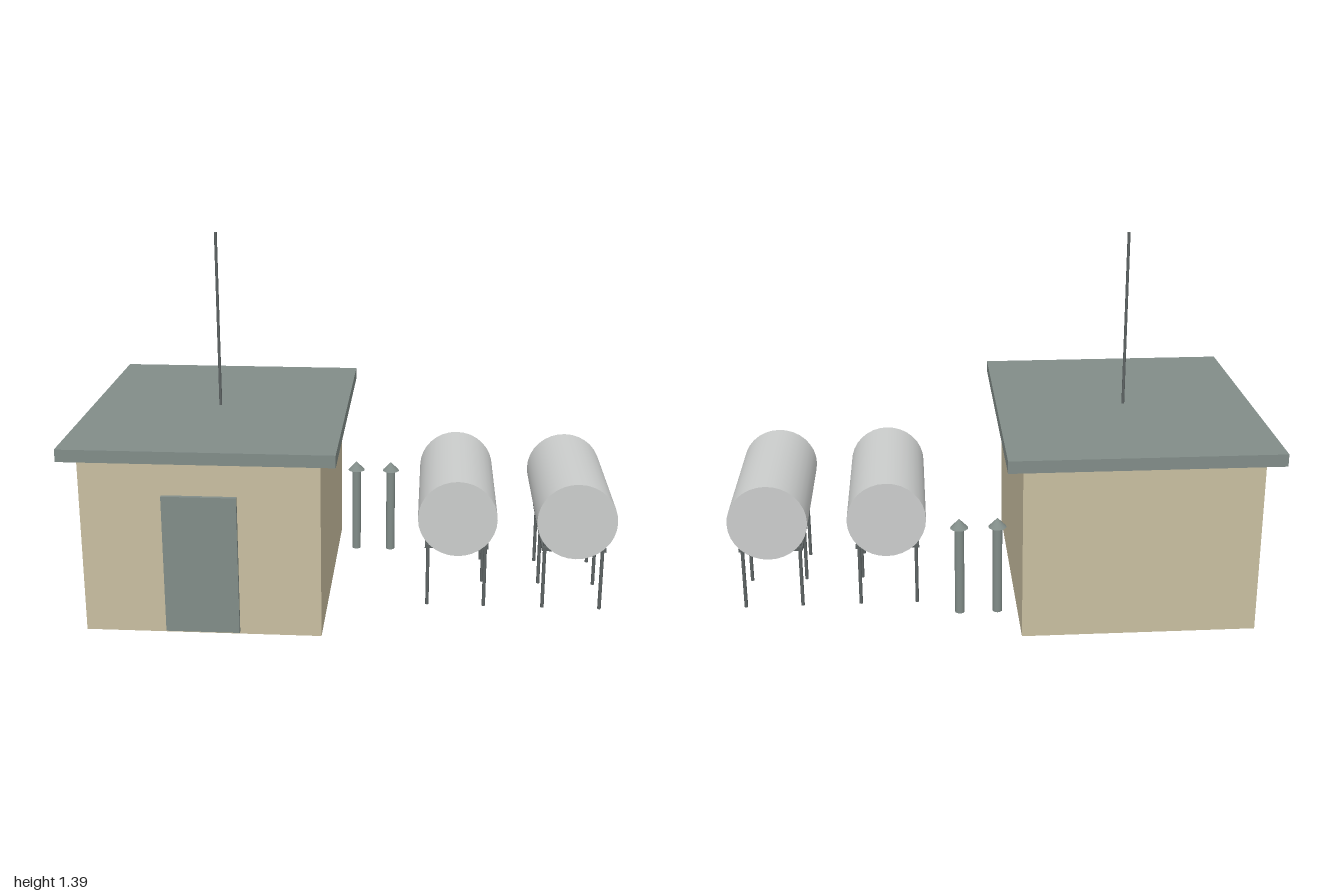
import * as THREE from 'three';

const material = (name, color) => {
  const m = new THREE.MeshStandardMaterial({ color });
  m.name = name;
  return m;
};

export function createModel() {
  const model = new THREE.Group();
  model.name = 'pumpHouse';
  const wall = material('tan wall', 0xc8bea0);
  const slate = material('grey green metal', 0x818c88);
  const steel = material('light tank steel', 0xcbcdcc);
  const dark = material('dark steel', 0x5e6464);

  const add = (parent, name, geometry, mat, x, y, z) => {
    const mesh = new THREE.Mesh(geometry, mat);
    mesh.name = name;
    mesh.position.set(x, y, z);
    parent.add(mesh);
    return mesh;
  };
  const box = (w, h, d) => new THREE.BoxGeometry(w, h, d);
  const rod = (r, h, n = 16) => new THREE.CylinderGeometry(r, r, h, n);

  // Building
  const house = new THREE.Group();
  house.name = 'building';
  model.add(house);
  add(house, 'walls', box(0.866, 0.672, 1.024), wall, -0.508, 0.336, 0);
  add(house, 'roof', box(0.983, 0.046, 1.14), slate, -0.508, 0.694, 0);
  add(house, 'door', box(0.27, 0.524, 0.03), slate, -0.508, 0.272, 0.512);
  add(house, 'antenna', rod(0.0055, 0.672, 10), dark, -0.508, 1.052, 0);

  // Vent pipes with conical caps
  for (const x of [0.001, 0.144]) {
    const vent = new THREE.Group();
    vent.name = 'ventPipe';
    vent.position.set(x, 0, -0.309);
    add(vent, 'pipe', rod(0.018, 0.35), slate, 0, 0.175, 0);
    add(vent, 'cap', new THREE.ConeGeometry(0.034, 0.036, 16), slate, 0, 0.368, 0);
    model.add(vent);
  }

  // Horizontal tanks on six-legged stands
  for (const x of [0.413, 0.852]) {
    const unit = new THREE.Group();
    unit.name = 'tankUnit';
    unit.position.x = x;
    const tank = add(unit, 'tank', rod(0.147, 0.589, 32), steel, 0, 0.382, 0);
    tank.rotation.x = Math.PI / 2;
    add(unit, 'standPlatform', box(0.24, 0.014, 0.472), dark, 0, 0.246, 0);
    for (const side of [-1, 1])
      for (const z of [-0.218, 0, 0.218])
        add(unit, 'standLeg', rod(0.0068, 0.27, 10), dark, side * 0.108, 0.135, z);
    model.add(unit);
  }
  return model;
}
